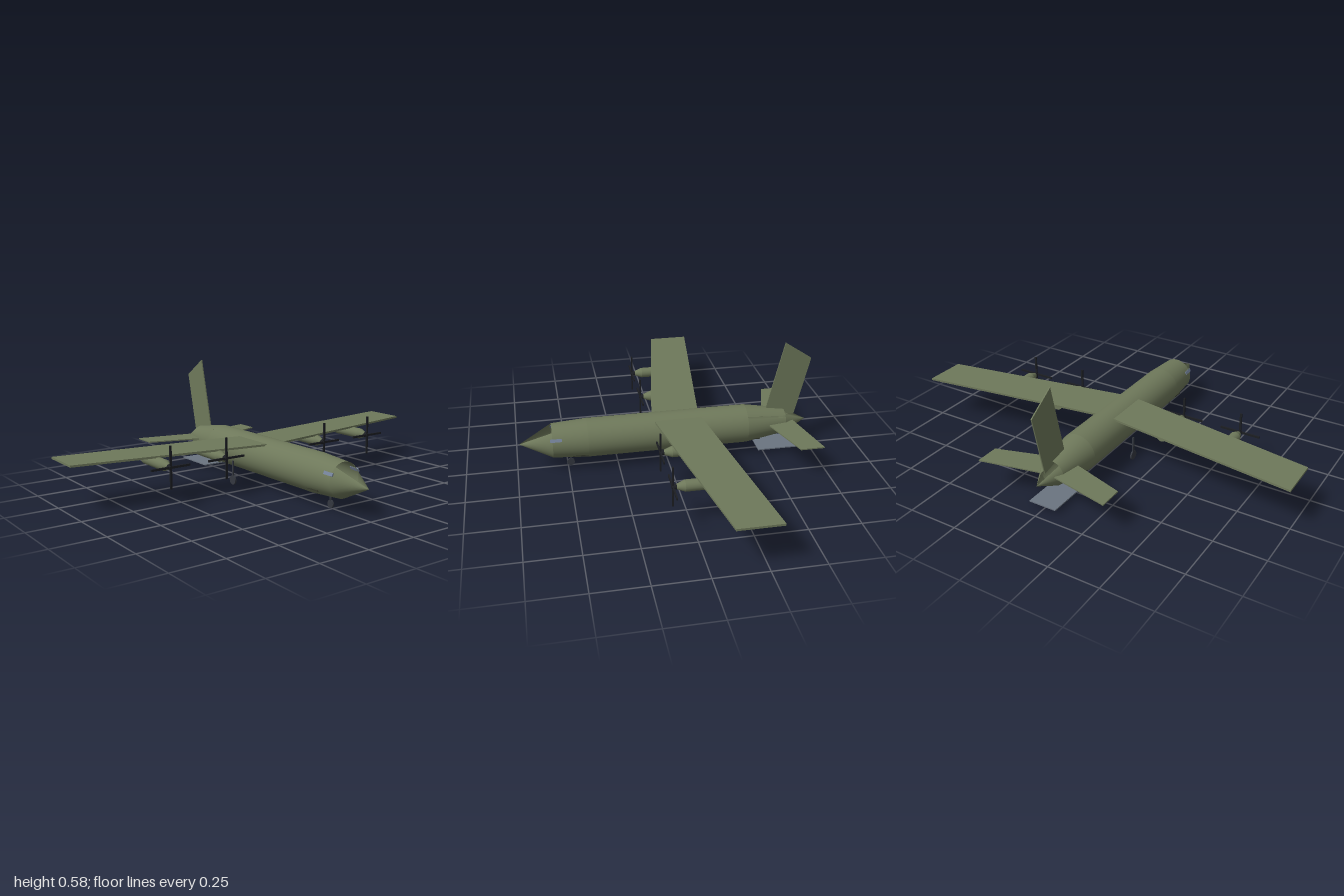
import * as THREE from 'three';

const mat = (name, color, side = THREE.FrontSide) => {
  const m = new THREE.MeshStandardMaterial({ color, side });
  m.name = name;
  return m;
};

export function createModel() {
  const olive = mat('olive paint', 0x6e785a);
  const skin = mat('olive shell', 0x6e785a, THREE.DoubleSide);
  const black = mat('propeller black', 0x1c1e22);
  const rubber = mat('gear dark grey', 0x343840);
  const grey = mat('ramp grey', 0x6b7480);
  const glass = mat('window glass', 0x74829a);
  const dark = mat('dark olive trim', 0x34382a);

  const model = new THREE.Group();
  model.name = 'transportAircraft';

  const add = (name, geo, material, x = 0, y = 0, z = 0, parent = model) => {
    const m = new THREE.Mesh(geo, material);
    m.name = name;
    m.position.set(x, y, z);
    parent.add(m);
    return m;
  };
  const box = (name, w, h, d, material, x, y, z, parent) =>
    add(name, new THREE.BoxGeometry(w, h, d), material, x, y, z, parent);

  // Frustum along x; gapFrom..gapTo (degrees from the top towards -z) is left open
  const frustum = (x0, r0, x1, r1, gapFrom = 0, gapTo = 0, open = true, sides = 40) => {
    const rad = Math.PI / 180;
    const g = new THREE.CylinderGeometry(r1, r0, x1 - x0, sides, 1, open,
      (270 - gapFrom) * rad, (360 - gapTo + gapFrom) * rad);
    g.rotateZ(-Math.PI / 2);
    g.translate((x0 + x1) / 2, 0, 0);
    return g;
  };

  // Fuselage shell: open wedges in the top of both end cones, slot in the tail taper
  const axis = 0.151;
  const R = 0.0965;
  const rNose = 0.085;
  const rTail = 0.063;
  add('fuselageBarrel', frustum(-0.405, R, 0.4, R), skin, 0, axis);
  add('fuselageFrontTaper', frustum(0.4, R, 0.573, rNose), skin, 0, axis);
  add('fuselageTailTaper', frustum(-0.61, rTail, -0.405, R, 45, 54), skin, 0, axis);
  const tipDrop = (geo, x0, x1, drop) => {
    const p = geo.attributes.position;
    for (let i = 0; i < p.count; i++) {
      p.setY(i, p.getY(i) - drop * (p.getX(i) - x0) / (x1 - x0));
    }
    return geo;
  };
  add('noseCone', tipDrop(frustum(0.573, rNose, 0.733, 0.0005, -37, 37), 0.573, 0.733, 0.007), skin, 0, axis);
  add('tailCone', tipDrop(frustum(-0.727, 0.0005, -0.61, rTail, -37, 37), -0.61, -0.727, 0.003), skin, 0, axis);

  // Flat panel from an outline, extruded by a thickness
  const panel = (points, depth) => new THREE.ExtrudeGeometry(
    new THREE.Shape(points.map(([a, b]) => new THREE.Vector2(a, b))),
    { depth, bevelEnabled: false });
  const flat = (points, depth) => panel(points, depth).rotateX(Math.PI / 2);

  // Fin
  add('fin', panel([[-0.666, 0.18], [-0.513, 0.215], [-0.6, 0.58], [-0.738, 0.488]], 0.006),
    olive, 0, 0, -0.003);

  for (const s of [1, -1]) {
    const side = s > 0 ? 'Right' : 'Left';

    // Wing and tailplane
    add('wing' + side, flat([[-0.169, s * 0.045], [0.068, s * 0.045], [-0.093, s], [-0.3, s]], 0.01),
      olive, 0, 0.233);
    add('tailplane' + side,
      flat([[-0.648, s * 0.03], [-0.502, s * 0.03], [-0.596, s * 0.337], [-0.714, s * 0.337]], 0.006),
      olive, 0, 0.166);

    // Engines with four-bladed propellers
    for (const z of [0.3, 0.6]) {
      const engine = new THREE.Group();
      engine.name = 'engine' + side;
      engine.position.set(0, 0.2, s * z);
      model.add(engine);
      add('nacelle', frustum(-0.147, 0.027, 0.03, 0.027, 0, 0, false, 20), olive, 0, 0, 0, engine);
      add('nacelleNose', frustum(0.03, 0.027, 0.074, 0.01, 0, 0, false, 20), olive, 0, 0, 0, engine);
      add('propellerHub', frustum(0.068, 0.013, 0.09, 0.008, 0, 0, false, 16), black, 0, 0, 0, engine);
      box('propellerBladesUpright', 0.007, 0.2, 0.01, black, 0.084, 0, 0, engine);
      box('propellerBladesLevel', 0.007, 0.01, 0.2, black, 0.084, 0, 0, engine);
    }

    // Main landing gear
    const wheel = new THREE.CylinderGeometry(0.024, 0.024, 0.008, 20).rotateX(Math.PI / 2);
    add('mainWheel' + side, wheel, rubber, -0.115, 0.026, s * 0.129);
    box('mainStrut' + side, 0.01, 0.1, 0.006, rubber, -0.115, 0.076, s * 0.129);

    // Cockpit side window
    const win = box('cockpitWindow' + side, 0.056, 0.016, 0.006, glass, 0.556, 0.189, s * 0.078);
    win.rotation.set(-s * 0.46, s * 0.06, 0);
  }

  // Nose gear
  const noseWheel = new THREE.CylinderGeometry(0.019, 0.019, 0.008, 20).rotateX(Math.PI / 2);
  add('noseWheel', noseWheel, rubber, 0.486, 0.021, 0);
  box('noseStrut', 0.008, 0.06, 0.008, rubber, 0.486, 0.05, 0);

  // Lowered cargo ramp
  box('cargoRamp', 0.228, 0.006, 0.142, grey, -0.581, 0.025, 0);

  // Thin trim plates just breaking the lower skin
  box('frontTrim', 0.078, 0.005, 0.15, dark, 0.439, 0.092, 0);
  box('rearTrim', 0.054, 0.005, 0.14, dark, -0.447, 0.092, 0);

  return model;
}
